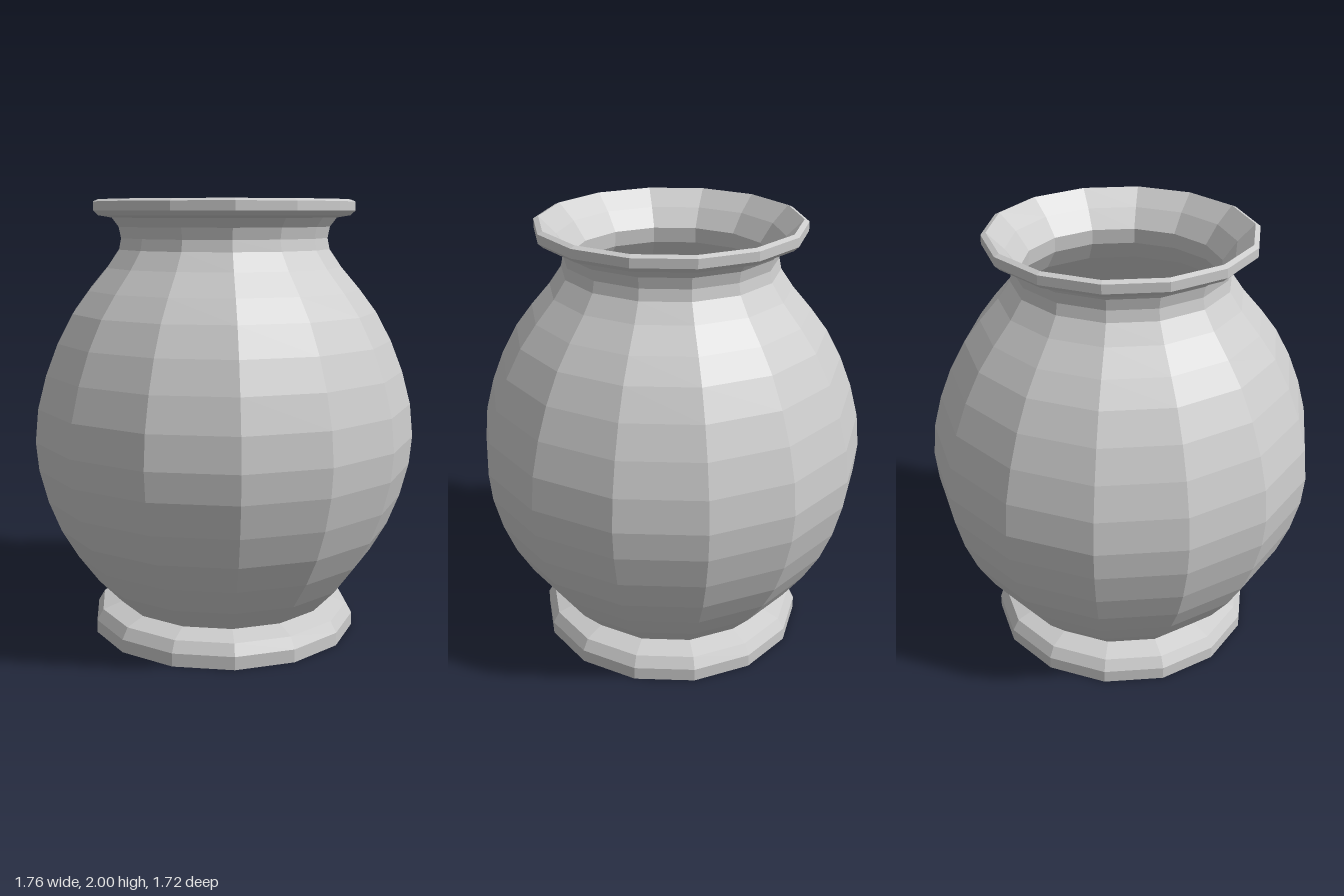
import * as THREE from 'three';

const SIDES = 14;

export function createModel() {
  const group = new THREE.Group();
  group.name = 'vase';
  const material = new THREE.MeshStandardMaterial({ color: 0xcccccc, flatShading: true });

  // Turn a [radius, height] profile around y, with a corner on the x axis
  function turned(name, profile) {
    const points = profile.map(([r, y]) => new THREE.Vector2(r, y));
    const mesh = new THREE.Mesh(new THREE.LatheGeometry(points, SIDES, Math.PI / 2), material);
    mesh.name = name;
    group.add(mesh);
  }

  // Foot ring with closed underside
  turned('foot', [[0, 0], [0.62, 0], [0.62, 0.06], [0.59, 0.11], [0.5, 0.14]]);

  // Round belly rising to the waisted neck
  turned('body', [
    [0.5, 0.14], [0.605, 0.25], [0.7, 0.38], [0.775, 0.51], [0.83, 0.65], [0.868, 0.8],
    [0.88, 0.93], [0.865, 1.08], [0.825, 1.23], [0.77, 1.37], [0.7, 1.5], [0.625, 1.6],
    [0.54, 1.7], [0.485, 1.78], [0.475, 1.83], [0.485, 1.88], [0.515, 1.92],
  ]);

  // Flared lip, sloping inwards to the throat
  turned('rim', [
    [0.515, 1.92], [0.575, 1.93], [0.597, 1.95], [0.597, 1.99], [0.575, 2],
    [0.5, 1.925], [0.44, 1.84],
  ]);

  // Hollow inside, from throat down to the floor
  turned('interior', [
    [0.44, 1.84], [0.445, 1.77], [0.5, 1.68], [0.65, 1.5], [0.77, 1.25], [0.83, 0.95],
    [0.79, 0.65], [0.66, 0.38], [0.47, 0.18], [0, 0.15],
  ]);

  return group;
}
